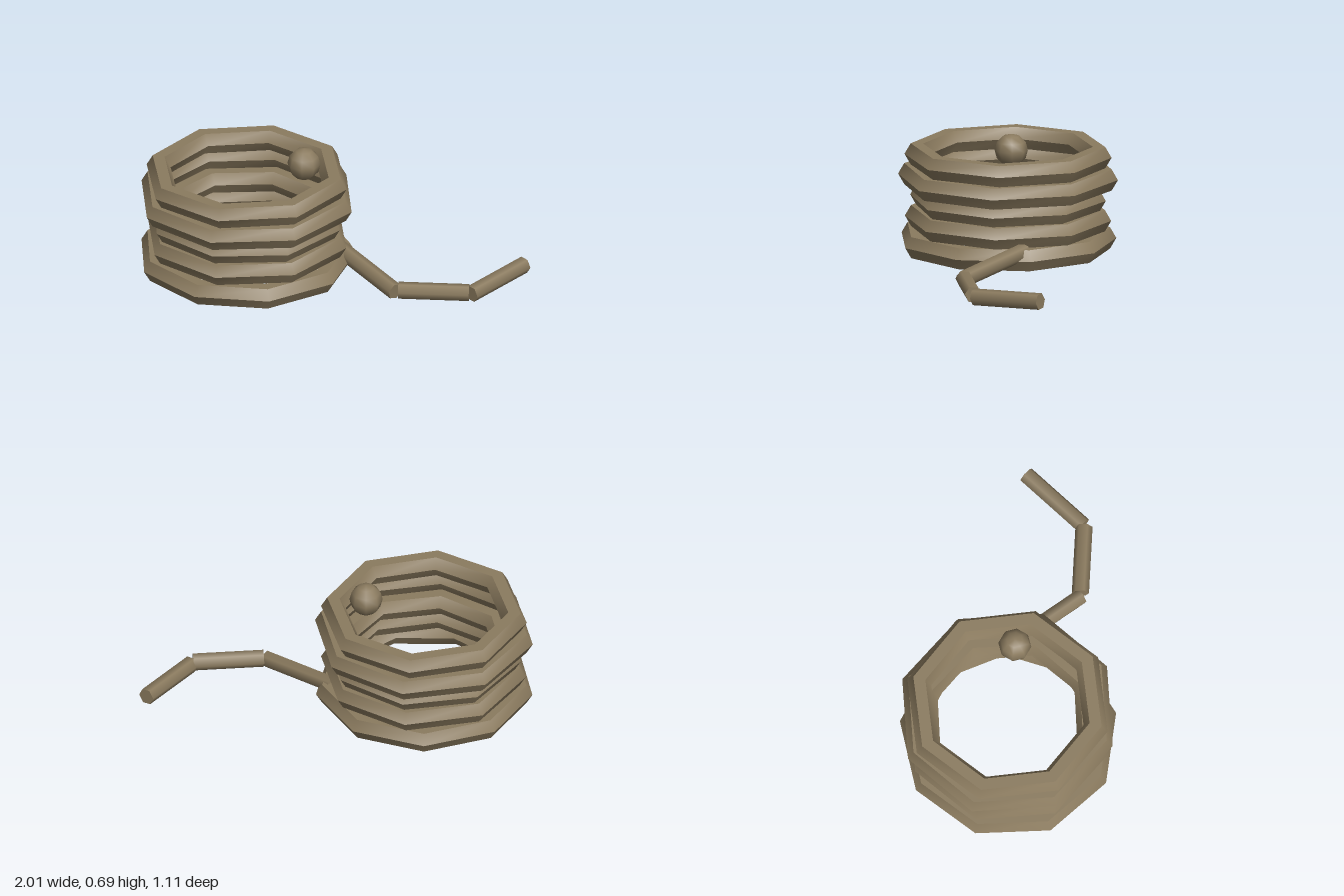
import * as THREE from 'three';
import { toCreasedNormals } from 'three/addons/utils/BufferGeometryUtils.js';

export function createModel() {
  const model = new THREE.Group();
  model.name = 'ropeCoil';
  const rope = new THREE.MeshStandardMaterial({ color: 0x8b7b5f });
  rope.name = 'rope';

  const add = (geometry, name) => {
    const mesh = new THREE.Mesh(geometry, rope);
    mesh.name = name;
    model.add(mesh);
    return mesh;
  };

  // Stacked loops: hexagonal rope bent into uneven polygons
  // [outer radius, centre x, centre y, centre z, bends, turn in degrees]
  const tube = 0.0635;
  const loops = [
    [0.56, -0.445, 0.08, 0.007, 9, -10],
    [0.53, -0.44, 0.19, 0, 8, 10],
    [0.505, -0.443, 0.296, 0, 8, 12],
    [0.566, -0.443, 0.405, 0, 8, 11],
    [0.53, -0.443, 0.515, 0, 8, 8],
  ];
  loops.forEach(([outer, x, y, z, bends, turn], i) => {
    const ring = new THREE.TorusGeometry(outer - tube, tube, 6, bends);
    ring.rotateX(Math.PI / 2);
    ring.rotateY(-THREE.MathUtils.degToRad(turn));
    // creases run along the rope, while the bends stay smooth
    add(toCreasedNormals(ring, 0.9), 'loop' + (i + 1)).position.set(x, y, z);
  });

  // Loose end: straight pieces lying on the ground
  const pieces = [
    [[0.02, 0.118, -0.06], [0.36, 0.05, 0.27]],
    [[0.375, 0.057, 0.265], [0.735, 0.053, 0.235]],
    [[0.745, 0.044, 0.23], [0.972, 0.066, -0.095]],
  ];
  pieces.forEach(([a, b], i) => {
    const from = new THREE.Vector3(...a), to = new THREE.Vector3(...b);
    const dir = to.clone().sub(from);
    const piece = add(new THREE.CylinderGeometry(0.044, 0.044, dir.length(), 6), 'looseEnd' + (i + 1));
    piece.position.copy(from).add(to).multiplyScalar(0.5);
    piece.quaternion.setFromUnitVectors(new THREE.Vector3(0, 1, 0), dir.normalize());
  });

  // Knot at the inner end
  add(new THREE.SphereGeometry(0.085, 8, 6), 'knot').position.set(-0.148, 0.61, -0.002);

  return model;
}
